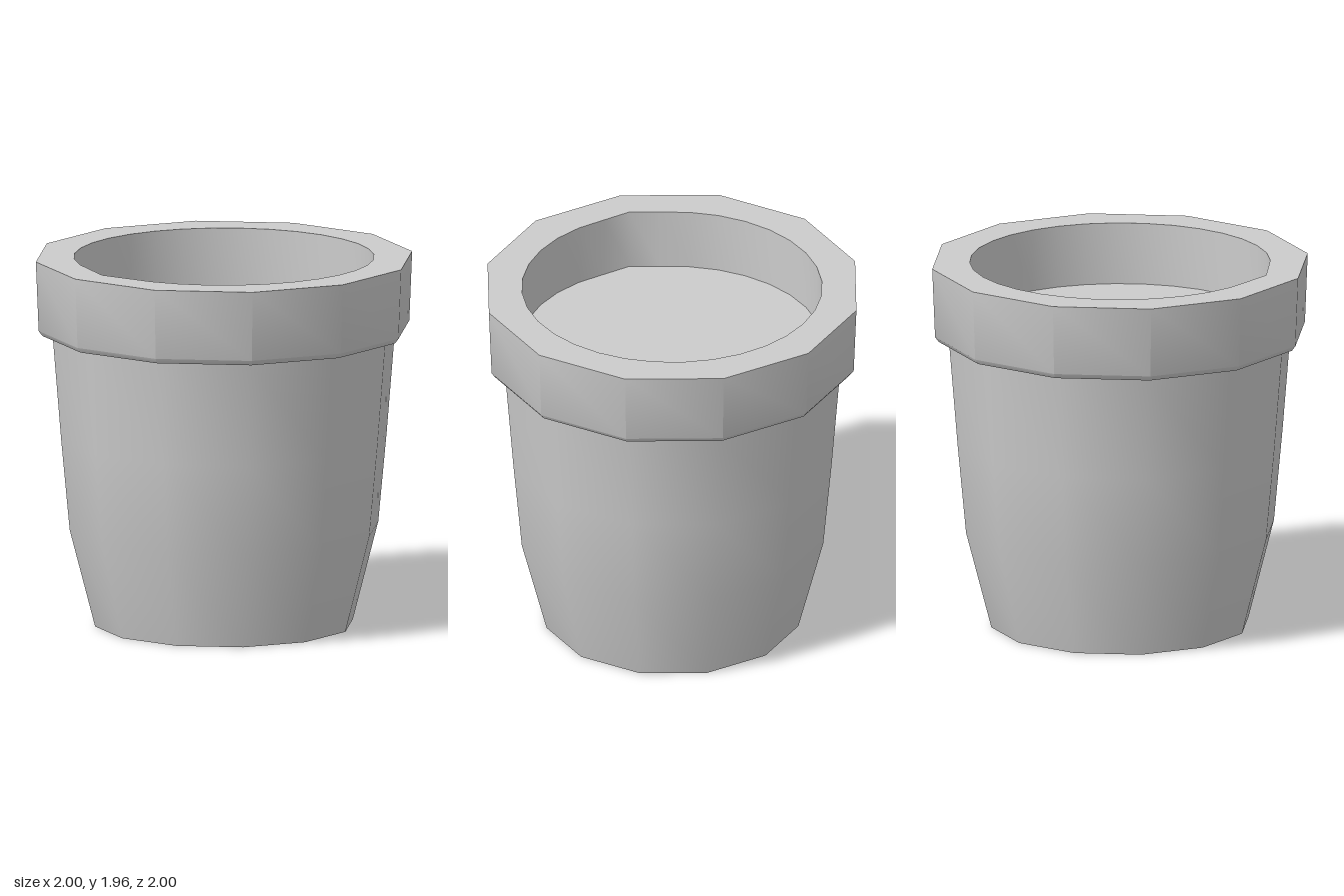
import * as THREE from 'three';
import { toCreasedNormals } from 'three/addons/utils/BufferGeometryUtils.js';

const SIDES = 12, HOLE_SIDES = 32;
const TOP = 1.96, SOIL = 1.63, HOLE_R = 0.79, SPOUT_R = 0.82;

// Points around the y axis as shape coordinates (shape y becomes -z)
function ring(sides, radius) {
  return Array.from({ length: sides }, (_, i) => {
    const a = (i / sides) * Math.PI * 2;
    const r = radius(i);
    return new THREE.Vector2(Math.sin(a) * r, -Math.cos(a) * r);
  });
}

function lathe(profile, sides) {
  return new THREE.LatheGeometry(profile.map(([r, y]) => new THREE.Vector2(r, y)), sides);
}

function flat(shape, y) {
  return new THREE.ShapeGeometry(shape).rotateX(-Math.PI / 2).translate(0, y, 0);
}

export function createModel() {
  const group = new THREE.Group();
  const material = new THREE.MeshStandardMaterial({ color: 0xcccccc });
  const add = (name, geometry) => {
    const mesh = new THREE.Mesh(geometry, material);
    mesh.name = name;
    group.add(mesh);
  };

  // Tapered twelve-sided body, smooth around
  const body = lathe([[0.685, 0], [0.82, 0.52], [0.865, 1], [0.91, 1.555]], SIDES);
  add('body', toCreasedNormals(body, 0.6));

  // Closed underside
  add('base', new THREE.CircleGeometry(0.685, SIDES).rotateX(Math.PI / 2));

  // Thick collar with a small bevel below
  const collar = lathe([[0.905, 1.553], [0.965, 1.563], [0.985, 1.59], [1, TOP]], SIDES);
  add('collar', toCreasedNormals(collar, 0.6));

  // Flat top of the collar around the opening, which is slightly pointed at the front
  const opening = ring(HOLE_SIDES, (i) => (i === 0 ? SPOUT_R : HOLE_R));
  const rim = new THREE.Shape(ring(SIDES, () => 1));
  rim.holes.push(new THREE.Path(opening));
  add('rim', flat(rim, TOP));

  // Inner wall, facing inward
  const wall = lathe([[HOLE_R, TOP], [HOLE_R, SOIL]], HOLE_SIDES);
  const p = wall.attributes.position;
  for (let i = 0; i < p.count; i++) {
    if (Math.abs(p.getX(i)) < 0.01 && p.getZ(i) > 0) p.setZ(i, SPOUT_R);
  }
  add('innerWall', toCreasedNormals(wall, 0.6));

  // Soil surface
  add('soil', flat(new THREE.Shape(opening), SOIL));

  return group;
}
